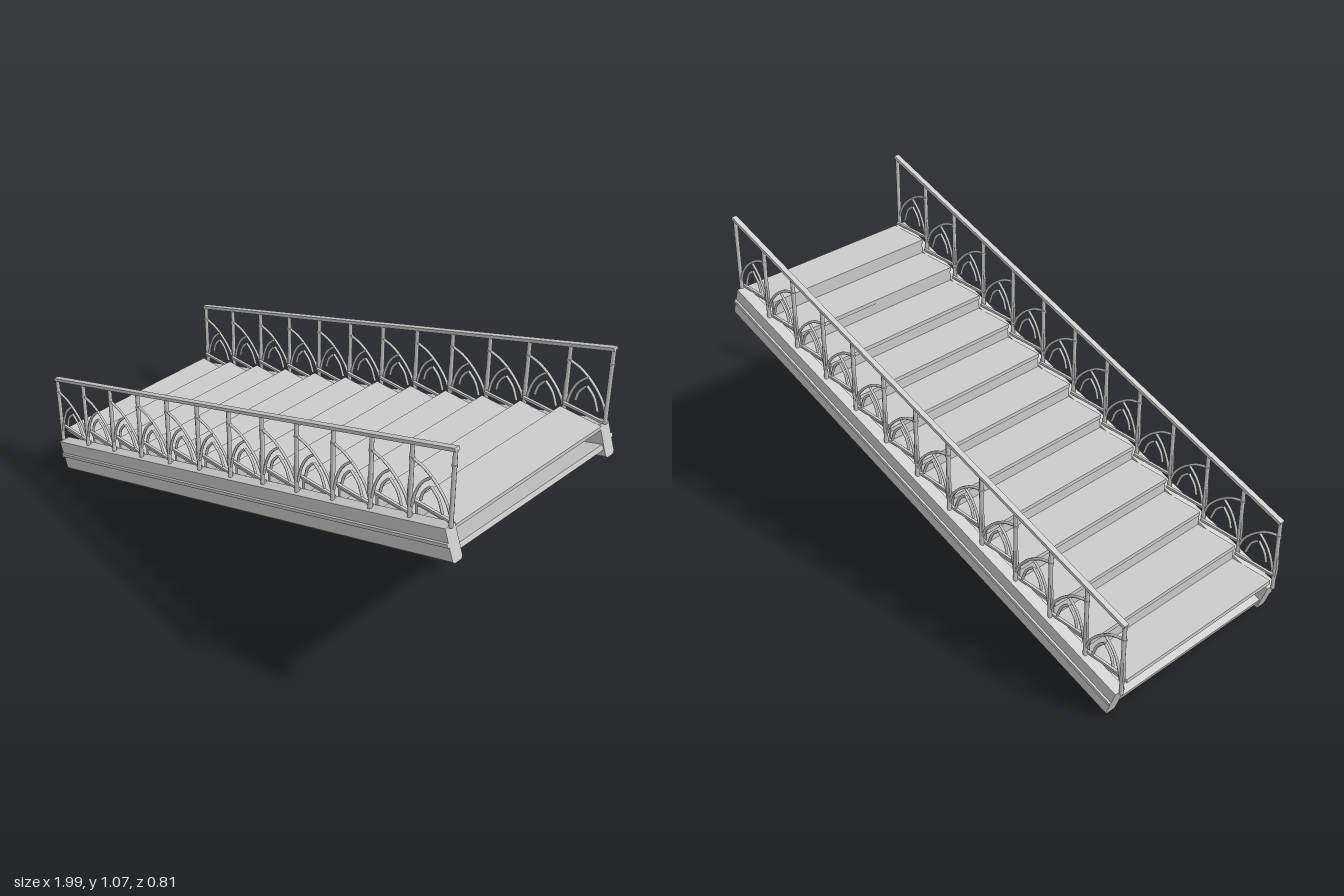
import * as THREE from 'three';

const STEPS = 12, RUN = 0.162, RISE = 0.0563, X0 = -0.985;
const SLOPE = 0.3425, ANGLE = Math.atan(SLOPE), LENGTH = 2.047;

export function createModel() {
  const model = new THREE.Group();
  model.name = 'staircase';
  const metal = new THREE.MeshStandardMaterial({ color: 0xcccccc });
  metal.name = 'paleGreyMetal';

  const add = (parent, name, geometry, x = 0, y = 0, z = 0) => {
    const mesh = new THREE.Mesh(geometry, metal);
    mesh.name = name;
    mesh.position.set(x, y, z);
    parent.add(mesh);
    return mesh;
  };
  const box = (parent, name, w, h, d, x, y, z) =>
    add(parent, name, new THREE.BoxGeometry(w, h, d), x, y, z);
  const tube = (parent, name, points, radius) => {
    const curve = new THREE.CatmullRomCurve3(points.map(([x, y]) => new THREE.Vector3(x, y, 0)));
    return add(parent, name, new THREE.TubeGeometry(curve, 14, radius, 6));
  };

  // Sloping frame: local x runs up the flight, local y is square to it
  const frame = new THREE.Group();
  frame.name = 'slopingFrame';
  frame.position.set(-0.942, 0, 0);
  frame.rotation.z = ANGLE;
  model.add(frame);

  // Side beams with a narrow outer ridge
  const profile = [[0.362, 0], [0.393, 0], [0.4, 0.008], [0.4, 0.056], [0.407, 0.058],
    [0.407, 0.07], [0.4, 0.072], [0.4, 0.12], [0.355, 0.12], [0.355, 0.008]];
  for (const side of [1, -1]) {
    const shape = new THREE.Shape(profile.map(([z, v]) => new THREE.Vector2(-side * z, v)));
    const beam = new THREE.ExtrudeGeometry(shape, { depth: LENGTH, bevelEnabled: false });
    beam.rotateY(Math.PI / 2);
    add(frame, side > 0 ? 'frontBeam' : 'backBeam', beam);
  }

  // Underside panel and its cross bars
  box(frame, 'undersidePanel', LENGTH - 0.01, 0.02, 0.712, LENGTH / 2, 0.04, 0);
  for (let i = 0; i < 6; i++) {
    box(frame, 'crossBar', 0.02, 0.022, 0.712, 0.158 + i * 0.333, 0.02, 0);
  }

  // Treads and risers
  for (let i = 0; i < STEPS; i++) {
    const x = X0 + i * RUN, top = 0.154 + i * RISE;
    box(model, 'tread', RUN + 0.004, 0.015, 0.712, x + RUN / 2, top - 0.0075, 0);
    if (i > 0) box(model, 'riser', 0.01, RISE, 0.712, x + 0.007, top - 0.012 - RISE / 2, 0);
  }

  // Railings
  const baseAt = x => 0.1135 + SLOPE * (x + 0.981);
  for (const side of [1, -1]) {
    const railing = new THREE.Group();
    railing.name = side > 0 ? 'frontRailing' : 'backRailing';
    railing.position.z = side * 0.378;
    model.add(railing);

    // Sloping handrail
    const span = STEPS * RUN;
    const rail = box(railing, 'handrail', span / Math.cos(ANGLE) + 0.012, 0.012, 0.02,
      X0 + span / 2, baseAt(X0 + span / 2) + 0.28, 0);
    rail.rotation.z = ANGLE;

    for (let i = 0; i <= STEPS; i++) {
      const bay = new THREE.Group();
      bay.name = 'railingBay';
      bay.position.set(X0 + i * RUN, baseAt(X0 + i * RUN), 0);
      railing.add(bay);

      // Upright post with a small collar
      add(bay, 'post', new THREE.CylinderGeometry(0.0075, 0.0075, 0.285, 8), 0, 0.1375, 0);
      add(bay, 'collar', new THREE.CylinderGeometry(0.0095, 0.0095, 0.008, 8), 0, 0.22, 0);
      if (i === STEPS) continue;

      // Bowed rod beside the post
      tube(bay, 'bowedRod', [[0, 0.19], [-0.006, 0.13], [-0.008, 0.08], [0, 0]], 0.0045);

      // Pointed arch made of two curved rods
      tube(bay, 'archLongRod', [[0, 0.222], [0.05, 0.208], [0.1, 0.175], [0.14, 0.13], [0.16, 0.085]], 0.005);
      tube(bay, 'archShortRod', [[0.006, 0.045], [0.02, 0.105], [0.045, 0.155], [0.082, 0.193]], 0.005);

      // Smaller arch inside
      tube(bay, 'innerArchLeft', [[0.04, 0.085], [0.05, 0.12], [0.078, 0.157]], 0.005);
      tube(bay, 'innerArchRight', [[0.078, 0.157], [0.108, 0.128], [0.128, 0.08]], 0.005);

      // Level bar along the tread edge
      box(bay, 'bottomBar', RUN, 0.009, 0.01, RUN / 2, 0.06, -side * 0.011);
    }
  }
  return model;
}
